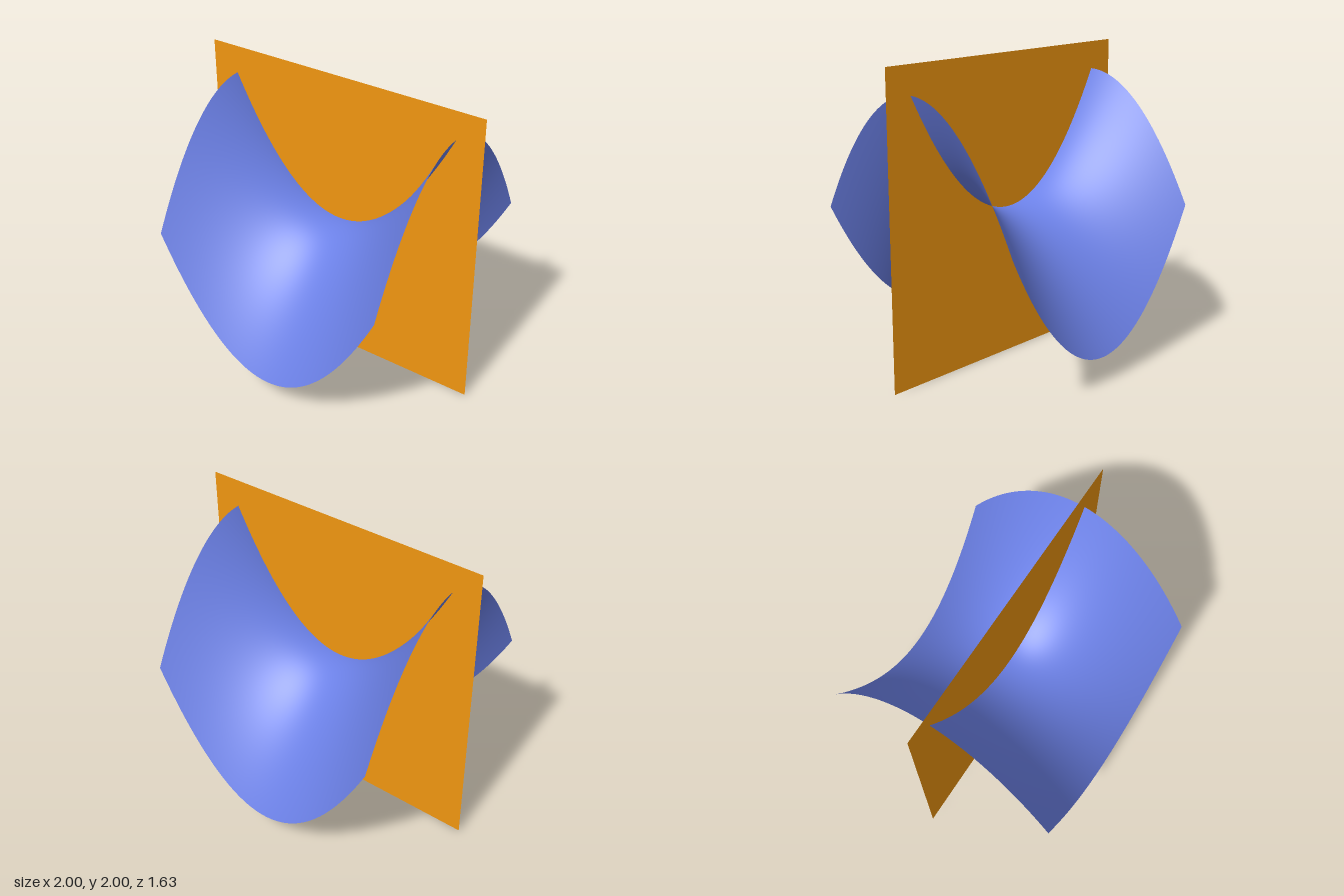
import * as THREE from 'three';

const HALF = 0.816;   // half width of the saddle
const MID = 1;        // height of the saddle point

// Hyperbolic paraboloid: rises along x, falls along z
function saddleGeometry(segments) {
  const geometry = new THREE.PlaneGeometry(2 * HALF, 2 * HALF, segments, segments);
  geometry.rotateX(-Math.PI / 2);
  const p = geometry.attributes.position;
  const normals = geometry.attributes.normal;
  const n = new THREE.Vector3();
  for (let i = 0; i < p.count; i++) {
    const x = p.getX(i), z = p.getZ(i);
    p.setY(i, MID + (x * x - z * z) / HALF);
    n.set(-2 * x / HALF, 1, 2 * z / HALF).normalize();
    normals.setXYZ(i, n.x, n.y, n.z);
  }
  return geometry;
}

function addSurface(group, name, geometry, color) {
  const material = new THREE.MeshStandardMaterial({ color, side: THREE.DoubleSide });
  const mesh = new THREE.Mesh(geometry, material);
  mesh.name = name;
  group.add(mesh);
  return mesh;
}

export function createModel() {
  const group = new THREE.Group();
  group.name = 'saddleWithPlane';

  // Curved saddle surface
  addSurface(group, 'saddleSurface', saddleGeometry(64), 0x6b80e6);

  // Upright square plane cutting through the saddle's middle
  const plane = addSurface(group, 'cuttingPlane', new THREE.PlaneGeometry(2, 2), 0xf09610);
  plane.position.y = MID;

  return group;
}
